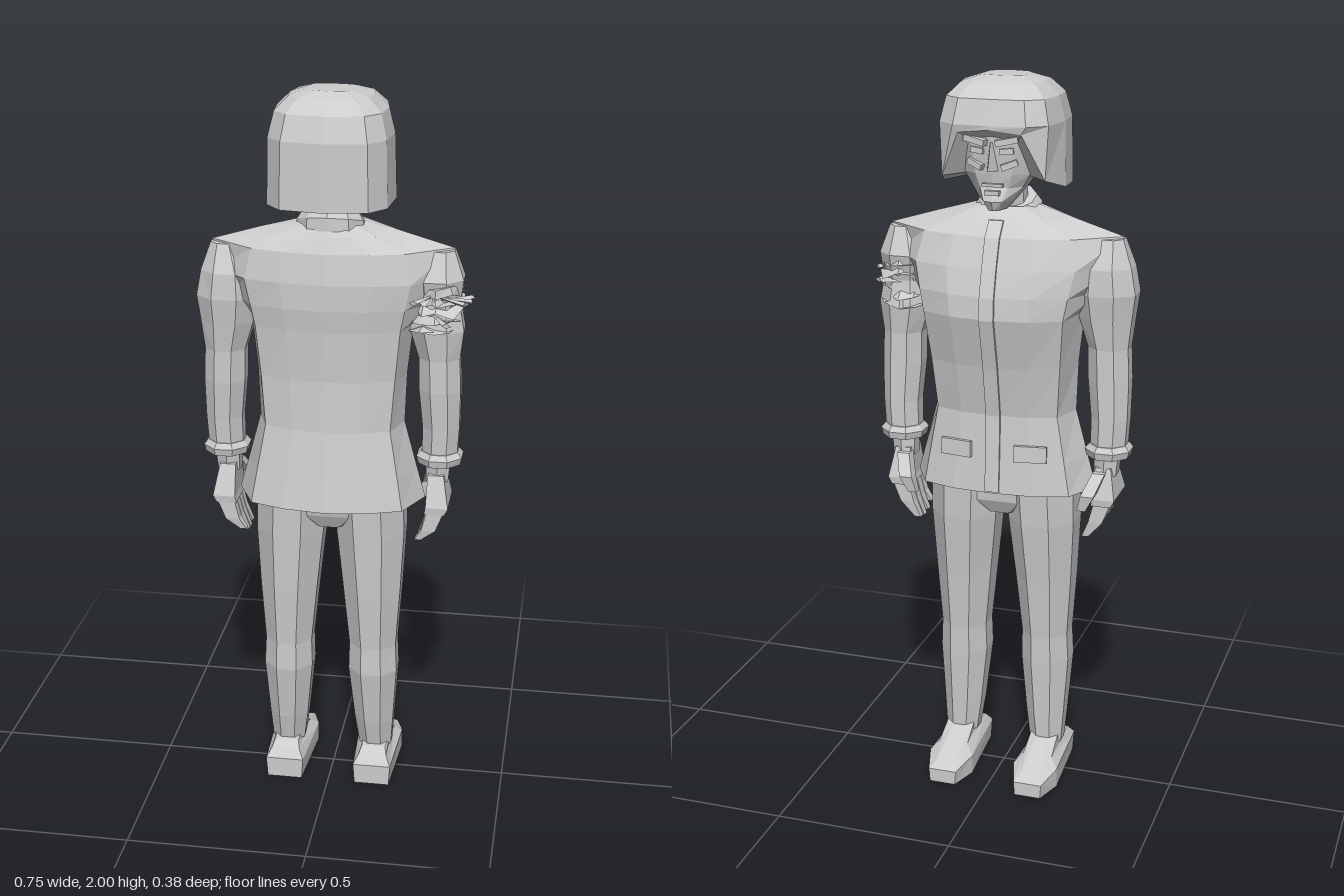
import * as THREE from 'three';

const grey = new THREE.MeshStandardMaterial({ color: 0xcccccc, flatShading: true, side: THREE.DoubleSide });
grey.name = 'light grey';

// Skin a list of rings (bottom to top) and close both ends; s = -1 mirrors in x
function loft(rings, s = 1) {
  const pos = [];
  const tri = (a, b, c) => {
    for (const p of s > 0 ? [a, b, c] : [a, c, b]) pos.push(p[0] * s, p[1], p[2]);
  };
  const n = rings[0].length;
  const mid = r => [0, 1, 2].map(k => r.reduce((t, p) => t + p[k], 0) / n);
  const last = rings[rings.length - 1], c0 = mid(rings[0]), c1 = mid(last);
  for (let j = 0; j < n; j++) {
    const k = (j + 1) % n;
    for (let i = 0; i < rings.length - 1; i++) {
      const a = rings[i], b = rings[i + 1];
      tri(a[j], b[j], a[k]);
      tri(a[k], b[j], b[k]);
    }
    tri(c0, rings[0][j], rings[0][k]);
    tri(c1, last[k], last[j]);
  }
  const g = new THREE.BufferGeometry();
  g.setAttribute('position', new THREE.Float32BufferAttribute(pos, 3));
  g.computeVertexNormals();
  return g;
}

// Regular ring at height y; tilt raises it towards +z
const ring = (y, cx, cz, rx, rz, n = 8, tilt = 0) => Array.from({ length: n }, (_, i) => {
  const a = (i + 0.5) / n * Math.PI * 2, k = 1 / Math.cos(Math.PI / n);
  return [cx + Math.cos(a) * rx * k, y + Math.sin(a) * tilt, cz + Math.sin(a) * rz * k];
});

// Full ring from points running front centre -> +x side -> back centre
const mirrorRing = half => [...half, ...half.slice(1, -1).reverse().map(p => [-p[0], p[1], p[2]])];

// Four-cornered ring
const quad = (y, x0, x1, z0, z1) => [[x0, y, z0], [x1, y, z0], [x1, y, z1], [x0, y, z1]];

export function createModel() {
  const model = new THREE.Group();
  const add = (name, geo, parent = model) => {
    const m = new THREE.Mesh(geo, grey);
    m.name = name;
    parent.add(m);
    return m;
  };
  const box = (name, w, h, d, x, y, z, rx = 0, ry = 0, rz = 0, parent = model) => {
    const m = add(name, new THREE.BoxGeometry(w, h, d), parent);
    m.position.set(x, y, z);
    m.rotation.set(rx, ry, rz);
    return m;
  };

  // Jacket: y, half width, front z, back z, side z, corner share of the width
  const jacketRing = ([y, w, zf, zb, zs, c]) => mirrorRing([
    [0, y, zf], [w * c * 0.55, y, zf * 0.93], [w * c, y, zf * 0.68],
    [w, y, zs], [w * c, y, zb * 0.74], [w * c * 0.55, y, zb * 0.92], [0, y, zb]]);
  add('jacket', loft([
    [0.88, 0.26, -0.115, 0.18, 0.02, 0.8],
    [0.97, 0.235, -0.108, 0.165, 0.02, 0.82],
    [1.1, 0.2, -0.1, 0.145, 0.02, 0.85],
    [1.24, 0.205, -0.125, 0.138, 0.02, 0.88],
    [1.38, 0.22, -0.16, 0.145, 0.02, 0.88],
    [1.44, 0.27, -0.155, 0.152, 0.02, 0.76],
    [1.51, 0.315, -0.135, 0.152, 0.02, 0.7],
    [1.59, 0.325, -0.105, 0.14, 0.015, 0.62],
    [1.63, 0.19, -0.07, 0.12, 0.02, 0.65],
    [1.66, 0.08, -0.035, 0.1, 0.03, 0.75]].map(jacketRing)));

  // Front closing strip and pocket flaps
  add('placket', loft([[0.885, -0.119], [0.97, -0.113], [1.1, -0.106], [1.24, -0.131], [1.38, -0.166],
    [1.44, -0.161], [1.51, -0.141], [1.59, -0.111], [1.63, -0.076]]
    .map(([y, z]) => quad(y, -0.02, 0.02, z, z + 0.03))));
  for (const s of [-1, 1]) box('pocketFlap', 0.09, 0.045, 0.012, s * 0.105, 1.0, -0.103, 0.05, s * -0.17);

  // Neck and collar, higher at the back
  add('neck', loft([ring(1.6, 0, 0.03, 0.055, 0.055), ring(1.74, 0, 0.015, 0.05, 0.05)]));
  add('collar', loft([ring(1.625, 0, 0.03, 0.09, 0.08, 10, 0.02), ring(1.655, 0, 0.03, 0.088, 0.078, 10, 0.025),
    ring(1.675, 0, 0.027, 0.075, 0.066, 10, 0.025)]));

  // Head: y, half width, front z, back z
  add('face', loft([
    [1.66, 0.025, -0.105, -0.075], [1.685, 0.045, -0.115, -0.045], [1.72, 0.07, -0.1, 0],
    [1.755, 0.09, -0.105, 0.04], [1.8, 0.1, -0.11, 0.06], [1.83, 0.105, -0.113, 0.06], [1.9, 0.1, -0.12, 0.06]]
    .map(([y, w, zf, zb]) => mirrorRing([
      [0, y, zf], [w * 0.55, y, zf + 0.008], [w, y, zf * 0.6], [w, y, zb * 0.6], [0, y, zb]]))));
  add('nose', loft([
    [[-0.017, 1.765, -0.1], [0, 1.77, -0.146], [0.017, 1.765, -0.1]],
    [[-0.008, 1.84, -0.1], [0, 1.84, -0.122], [0.008, 1.84, -0.1]]]));
  box('mouth', 0.055, 0.008, 0.02, 0, 1.728, -0.1);
  box('lowerLip', 0.04, 0.012, 0.02, 0, 1.708, -0.104);
  for (const s of [-1, 1]) {
    box('brow', 0.06, 0.016, 0.025, s * 0.042, 1.845, -0.116, 0, s * -0.2, s * 0.2);
    box('eye', 0.036, 0.015, 0.009, s * 0.04, 1.818, -0.11, 0, s * -0.15, s * 0.1);
    box('cheek', 0.045, 0.016, 0.02, s * 0.045, 1.782, -0.103, 0, s * -0.3, s * 0.35);
  }

  // Hair: rounded cap with a high fringe and a straight lower edge
  const hairRing = (y, w, zf, zb) => mirrorRing([
    [0, y, zf], [w * 0.6, y, zf + 0.005], [w * 0.9, y, zf * 0.68],
    [w, y, 0.005], [w * 0.94, y, zb * 0.6], [w * 0.68, y, zb * 0.89], [0, y, zb]]);
  add('hair', loft([
    mirrorRing([[0, 1.875, -0.14], [0.085, 1.865, -0.132], [0.14, 1.745, -0.1],
      [0.168, 1.715, 0], [0.157, 1.71, 0.11], [0.115, 1.71, 0.165], [0, 1.71, 0.185]]),
    hairRing(1.885, 0.163, -0.14, 0.182), hairRing(1.95, 0.147, -0.122, 0.16),
    hairRing(1.985, 0.11, -0.085, 0.125), hairRing(2.0, 0.062, -0.035, 0.085)]));

  // Hips joining the trouser legs
  add('hips', loft([ring(0.8, 0, 0.02, 0.06, 0.07), ring(0.84, 0, 0.02, 0.15, 0.09), ring(0.91, 0, 0.025, 0.2, 0.1)]));

  for (const s of [-1, 1]) {
    const limb = new THREE.Group();
    limb.name = s > 0 ? 'positiveSideLimbs' : 'negativeSideLimbs';
    model.add(limb);
    const part = (name, rings) => add(name, loft(rings, s), limb);

    // Trouser leg
    part('trouserLeg', [
      ring(0.09, 0.128, 0.012, 0.046, 0.046), ring(0.18, 0.125, 0.02, 0.055, 0.058),
      ring(0.35, 0.122, 0.03, 0.069, 0.074), ring(0.43, 0.121, 0.028, 0.066, 0.074),
      ring(0.6, 0.118, 0.026, 0.08, 0.087), ring(0.78, 0.113, 0.02, 0.094, 0.102),
      ring(0.9, 0.108, 0.02, 0.096, 0.108)]);

    // Shoe: low toe and a raised ankle
    part('shoe', [
      [[0.09, 0, -0.19], [0.165, 0, -0.19], [0.192, 0, -0.11], [0.178, 0, 0.115], [0.078, 0, 0.115], [0.063, 0, -0.11]],
      [[0.087, 0.04, -0.19], [0.168, 0.04, -0.19], [0.192, 0.055, -0.11], [0.182, 0.06, 0.115], [0.074, 0.06, 0.115], [0.063, 0.055, -0.11]],
      [[0.1, 0.055, -0.165], [0.155, 0.055, -0.165], [0.17, 0.078, -0.09], [0.168, 0.085, 0.095], [0.088, 0.085, 0.095], [0.085, 0.078, -0.09]],
      [[0.112, 0.11, -0.045], [0.144, 0.11, -0.045], [0.168, 0.113, -0.02], [0.162, 0.1, 0.07], [0.094, 0.1, 0.07], [0.088, 0.113, -0.02]]]);

    // Sleeve; the +x one is narrowed where it is torn
    const torn = s > 0 ? 0.74 : 1;
    part('sleeve', [
      ring(1.005, 0.297, 0.008, 0.048, 0.05), ring(1.09, 0.3, 0.01, 0.05, 0.052),
      ring(1.2, 0.295, 0.015, 0.056, 0.056), ring(1.29, 0.292, 0.015, 0.055, 0.056),
      ring(1.37, 0.284, 0.015, 0.072, 0.065), ring(1.44, 0.282, 0.015, 0.083 * torn, 0.074 * torn),
      ring(1.51, 0.28, 0.015, 0.072, 0.07), ring(1.585, 0.288, 0.015, 0.038, 0.038)]);
    part('cuff', [ring(0.985, 0.297, 0.008, 0.057, 0.06), ring(1.005, 0.297, 0.008, 0.062, 0.064),
      ring(1.02, 0.297, 0.008, 0.05, 0.054)]);

    // Hand with four curled fingers and a thumb
    part('wrist', [ring(0.93, 0.292, 0.005, 0.03, 0.035, 6), ring(1.0, 0.295, 0.008, 0.034, 0.038, 6)]);
    part('palm', [quad(0.85, 0.262, 0.318, -0.05, 0.078), quad(0.87, 0.266, 0.328, -0.052, 0.08),
      quad(0.955, 0.268, 0.312, -0.03, 0.05)]);
    for (let i = 0; i < 4; i++) {
      const z = -0.046 + i * 0.031, tip = 0.755 + (i === 3 ? 0.015 : 0) - (i === 1 ? 0.005 : 0);
      part('finger', [quad(tip, 0.236, 0.254, z + 0.004, z + 0.024), quad(0.8, 0.255, 0.294, z, z + 0.028),
        quad(0.86, 0.27, 0.318, z, z + 0.028)]);
    }
    part('thumb', [quad(0.845, 0.232, 0.256, -0.085, -0.062), quad(0.89, 0.243, 0.28, -0.092, -0.058),
      quad(0.945, 0.265, 0.3, -0.05, -0.015)]);
  }

  // Torn sleeve: ragged bands and loose shreds
  let seed = 7;
  const rnd = () => (seed = (seed * 16807) % 2147483647) / 2147483647;
  for (let i = 0; i < 5; i++) {
    const rag = (y, k) => ring(y, 0.283, 0.022, 0.062 * k, 0.066 * k, 10)
      .map(p => [0.283 + (p[0] - 0.283) * (0.8 + rnd() * 0.4), p[1] + (rnd() - 0.5) * 0.024,
        0.022 + (p[2] - 0.022) * (0.8 + rnd() * 0.5)]);
    add('tornBand', loft([rag(1.372 + i * 0.027, 1.1), rag(1.386 + i * 0.027, 0.85)]));
  }
  for (let i = 0; i < 9; i++) {
    const a = -0.5 + i * 0.3, y = 1.38 + rnd() * 0.1;
    const shred = add('shred', new THREE.ConeGeometry(0.014, 0.11, 4));
    shred.position.set(0.278 + Math.cos(a) * 0.058, y, 0.022 + Math.sin(a) * 0.085);
    shred.rotation.set(Math.PI / 2 + (rnd() - 0.5) * 0.5, 0, a + (rnd() - 0.5) * 0.4);
    shred.rotation.order = 'YXZ';
    shred.rotation.y = -a;
    shred.scale.z = 0.5;
  }
  const strip = add('hangingShred', new THREE.ConeGeometry(0.014, 0.24, 4));
  strip.position.set(0.338, 1.38, -0.01);
  strip.rotation.x = Math.PI;
  strip.scale.x = 0.5;

  return model;
}
